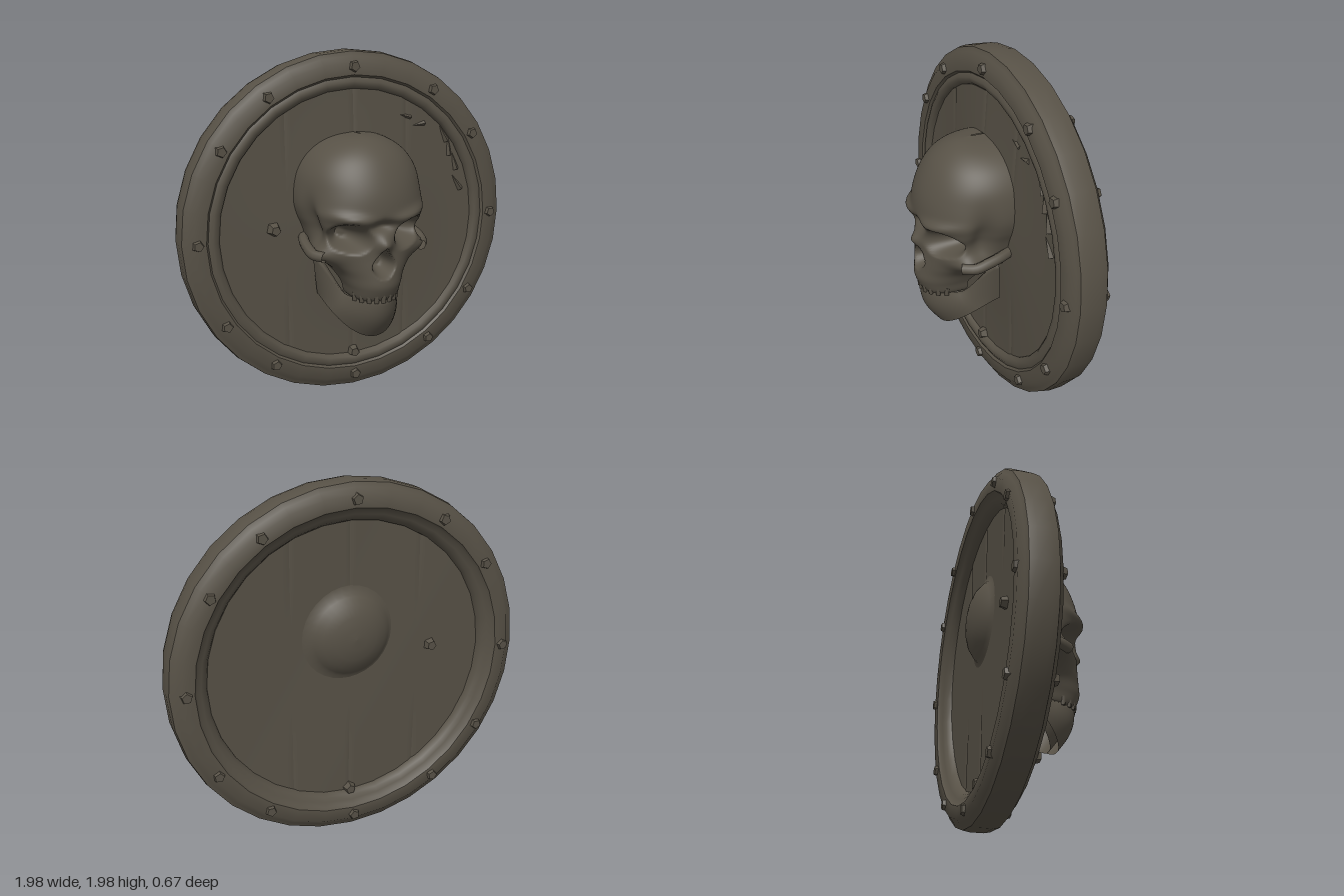
import * as THREE from 'three';
import { toCreasedNormals } from 'three/addons/utils/BufferGeometryUtils.js';

const wood = new THREE.MeshStandardMaterial({ color: 0x575146, side: THREE.DoubleSide });
wood.name = 'weatheredWood';

const smooth = THREE.MathUtils.smoothstep;
const bump = (x, y, rx, ry) => Math.exp(-((x / rx) ** 2) - (y / ry) ** 2);

function add(parent, name, geometry, x = 0, y = 0, z = 0) {
  const mesh = new THREE.Mesh(geometry, wood);
  mesh.name = name;
  mesh.position.set(x, y, z);
  parent.add(mesh);
  return mesh;
}

// Surface from a rule f(u, v) -> [x, y, z], u to the right and v upwards
function grid(f, nu, nv) {
  const pos = [], index = [];
  for (let j = 0; j <= nv; j++)
    for (let i = 0; i <= nu; i++) pos.push(...f(i / nu, j / nv));
  for (let j = 0; j < nv; j++)
    for (let i = 0; i < nu; i++) {
      const a = j * (nu + 1) + i, b = a + 1, c = a + nu + 1, d = c + 1;
      index.push(a, b, d, a, d, c);
    }
  const g = new THREE.BufferGeometry();
  g.setAttribute('position', new THREE.Float32BufferAttribute(pos, 3));
  g.setIndex(index);
  g.computeVertexNormals();
  return g;
}

function makeShield() {
  const shield = new THREE.Group();
  shield.name = 'shield';

  // Rim with a soft inner bead on the front and a sloping inner edge on the back
  const profile = [
    [0.78, -0.2], [0.785, -0.245], [0.8, -0.27], [0.825, -0.288], [0.85, -0.298], [0.862, -0.315],
    [0.93, -0.318], [0.96, -0.29], [0.985, -0.278], [0.992, -0.24], [0.992, -0.165], [0.985, -0.13],
    [0.96, -0.12], [0.93, -0.096], [0.86, -0.095], [0.848, -0.108], [0.825, -0.095], [0.8, -0.1],
    [0.785, -0.115], [0.78, -0.14], [0.78, -0.2],
  ].map(([r, z]) => new THREE.Vector2(r, z));
  const rim = new THREE.LatheGeometry(profile, 32).rotateX(Math.PI / 2);
  add(shield, 'rim', toCreasedNormals(rim, 0.8), 0, 1, 0);

  // Planks, swelling towards the skull, with a slight dip at each seam
  const seams = [-0.81, -0.4, 0, 0.33, 0.81];
  for (let p = 0; p < 4; p++) {
    const a = seams[p], b = seams[p + 1];
    for (const side of [1, -1]) {
      const plank = grid((u, v) => {
        const x = a + (b - a) * (side > 0 ? u : 1 - u);
        const y = (2 * v - 1) * Math.sqrt(Math.max(0, 0.815 ** 2 - x * x));
        const dip = 0.004 * (1 - smooth(Math.min(x - a, b - x), 0, 0.015)) * smooth(Math.abs(y), 0.2, 0.6);
        const swell = 0.035 * bump(x, y - 0.15, 0.42, 0.5);
        const warp = 0.004 * Math.sin(5 * x + 3 * y);
        const z = side > 0 ? -0.125 + swell - dip : -0.238 + dip;
        return [x, 1 + y, z + warp];
      }, 24, 20);
      add(shield, side > 0 ? 'plankFront' : 'plankBack', plank);
    }
  }

  // Rounded boss on the back, flaring softly into the planks
  const bossProfile = [[0.27, 0], [0.235, 0.008], [0.215, 0.028], [0.175, 0.06], [0.12, 0.082], [0.06, 0.094], [0, 0.098]]
    .map(([r, h]) => new THREE.Vector2(r, h));
  add(shield, 'backBoss', new THREE.LatheGeometry(bossProfile, 32).rotateX(-Math.PI / 2), 0, 1.17, -0.234);

  // Irregular faceted rivets through rim and planks
  const stud = toCreasedNormals(
    new THREE.CylinderGeometry(0.027, 0.042, 0.05, 5).rotateX(Math.PI / 2), 0.3);
  const rivet = (x, y, front, back, k) => {
    add(shield, 'rivetFront', stud, x, y, front).rotation.z = k * 1.3;
    add(shield, 'rivetBack', stud, x, y, back).rotation.set(Math.PI, 0, k * 1.7);
  };
  [0, 33, 57, 90, 123, 147, 180, 212, 237, 270, 303, 328].forEach((deg, k) => {
    const t = deg * Math.PI / 180;
    rivet(0.905 * Math.cos(t), 1 + 0.905 * Math.sin(t), -0.1, -0.309, k);
  });
  rivet(-0.48, 1.04, -0.088, -0.25, 2);
  rivet(0, 0.23, -0.115, -0.25, 3);

  // Splinters on the damaged upper part
  const splinter = toCreasedNormals(new THREE.ConeGeometry(0.025, 0.11, 3), 0.3);
  [[0.58, 1.5, 0.5], [0.62, 1.42, 0.1], [0.66, 1.33, 0.3], [0.31, 1.62, 1.3], [0.4, 1.56, 1.7], [0.68, 1.2, 0.6]]
    .forEach(([x, y, r]) => {
      const m = add(shield, 'splinter', splinter, x, y, -0.122);
      m.rotation.z = r;
      m.scale.z = 0.6;
    });
  return shield;
}

function makeSkull() {
  const skull = new THREE.Group();
  skull.name = 'skull';

  // Cross-sections from the upper jaw to the crown: half width, height, front depth
  const rows = new THREE.CatmullRomCurve3([
    [0.02, 0.675, 0.2], [0.13, 0.68, 0.275], [0.155, 0.75, 0.298], [0.185, 0.81, 0.305], [0.24, 0.87, 0.3],
    [0.285, 0.93, 0.292], [0.3, 0.99, 0.288], [0.318, 1.05, 0.29], [0.343, 1.11, 0.298], [0.36, 1.18, 0.3],
    [0.357, 1.27, 0.285], [0.335, 1.36, 0.25], [0.285, 1.44, 0.2], [0.21, 1.5, 0.135], [0.12, 1.535, 0.065],
    [0.005, 1.55, -0.02],
  ].map((p) => new THREE.Vector3(...p)));

  const head = grid((u, v) => {
    const t = (u - 0.5) * Math.PI;
    const r = rows.getPoint(v);
    const y = r.y, back = -0.14 + 0.2 * (1 - smooth(y, 0.74, 0.92));
    const flat = 0.64 + 0.21 * smooth(y, 1.08, 1.3);
    let x = r.x * Math.sin(t), z = back + (r.z - back) * Math.max(0, Math.cos(t)) ** flat;
    const ax = Math.abs(x), front = smooth(Math.cos(t), 0.2, 0.5);
    // brow ridge, bridge of the nose, tooth ridge
    z += front * 0.03 * bump(ax - 0.18, y - 1.145 - 0.12 * (ax - 0.18), 0.12, 0.03);
    z += 0.045 * bump(ax, y - 1.0, 0.045, 0.045) - 0.045 * bump(ax, y - 1.1, 0.07, 0.03);
    z += 0.012 * bump(ax, y - 0.76, 0.12, 0.05);
    // eye sockets, slanting down towards the nose
    const ex = (ax - 0.17) / 0.11, ey = (y - 1.04 - 0.15 * (ax - 0.17)) / 0.088;
    z -= front * 0.17 * (1 - smooth(Math.hypot(ex, ey), 0.25, 1.05));
    // nose opening, narrow at the top
    const nw = 0.02 + 0.055 * smooth(0.99 - y, 0, 0.13);
    z -= 0.12 * (1 - smooth(Math.hypot(ax / nw, (y - 0.9) / 0.09), 0.45, 1.05));
    // cheekbones and hollow temples
    const cheek = bump(z - 0.12, y - 0.925, 0.11, 0.06);
    const temple = bump(z - 0.05, y - 1.1, 0.06, 0.12);
    x += Math.sign(x) * smooth(ax, 0.15, 0.26) * (0.07 * cheek - 0.045 * temple);
    return [x, y, z];
  }, 100, 90);
  add(skull, 'craniumAndFace', head);

  // Lower jaw: a bowed band, outer wall then inner wall
  const jaw = grid((u, v) => {
    const t = (u - 0.5) * Math.PI, c = Math.max(0, Math.cos(t)), s = Math.sin(t);
    const inner = v > 0.5, h = inner ? 2 - 2 * v : 2 * v;
    const low = [0.235 * s, 0.64 - 0.2 * c ** 1.5, -0.1 + 0.28 * c];
    const rise = 1 - smooth(c, 0.05, 0.5);
    const high = [(0.17 + 0.1 * rise) * s, 0.685 + 0.2 * rise, -0.07 + 0.355 * c];
    const p = low.map((l, k) => THREE.MathUtils.lerp(l, high[k], h));
    p[2] += 0.03 * Math.sin(Math.PI * h) * c;
    return inner ? [p[0] * 0.84, p[1], p[2] - 0.045 * c] : p;
  }, 40, 16);
  add(skull, 'lowerJaw', jaw);

  // Teeth
  const tooth = new THREE.CylinderGeometry(0.018, 0.013, 0.05, 6);
  for (let k = -4; k <= 4; k++) {
    const t = k * 0.27;
    add(skull, 'tooth', tooth, 0.14 * Math.sin(t), 0.695, 0.09 + 0.19 * Math.cos(t));
  }

  // Flattened cheek arches running back to the board
  for (const s of [1, -1]) {
    const path = new THREE.CatmullRomCurve3([
      [0.29, 0.93, 0.16], [0.33, 0.935, 0.1], [0.337, 0.955, 0.03], [0.33, 0.97, -0.04], [0.3, 0.98, -0.13],
    ].map(([x, y, z]) => new THREE.Vector3(s * x, y, z)));
    add(skull, 'cheekArch', new THREE.TubeGeometry(path, 16, 0.03, 8));
  }
  return skull;
}

export function createModel() {
  const model = new THREE.Group();
  model.name = 'skullShield';
  model.add(makeShield(), makeSkull());
  return model;
}
